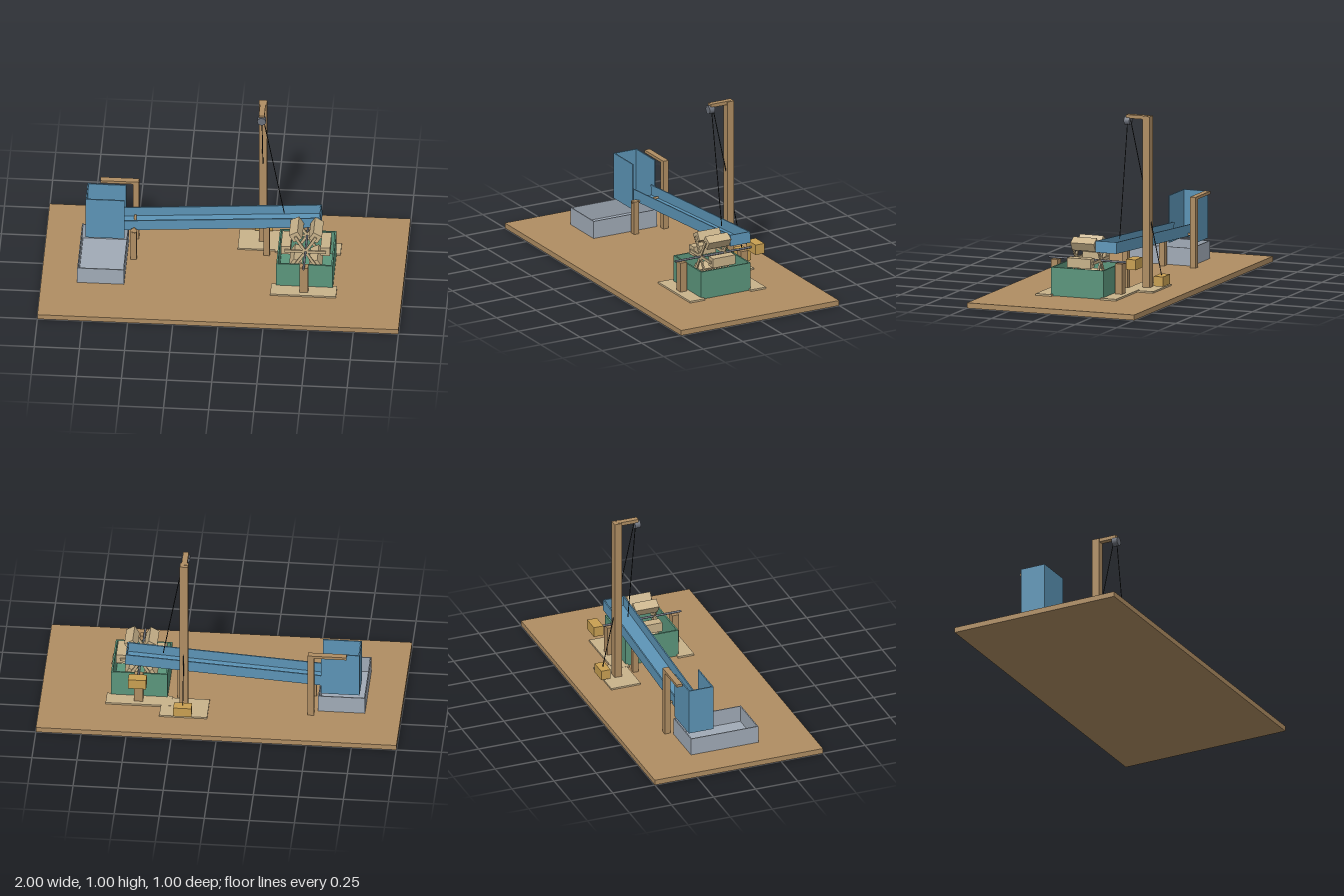
import * as THREE from 'three';

const mat = (name, color) => {
  const m = new THREE.MeshStandardMaterial({ color });
  m.name = name;
  return m;
};

export function createModel() {
  const model = new THREE.Group();
  model.name = 'waterWheelMachine';
  const wood = mat('wood', 0xb08e63);
  const paleWood = mat('pale wood', 0xc9b38b);
  const blue = mat('blue', 0x5c94b6);
  const green = mat('green', 0x5b967c);
  const grey = mat('light grey', 0xa1abb7);
  const steel = mat('steel', 0x6c717b);
  const gold = mat('gold', 0xc9a052);
  const black = mat('black', 0x1e2022);

  const add = (name, geometry, material, parent = model) => {
    const mesh = new THREE.Mesh(geometry, material);
    mesh.name = name;
    parent.add(mesh);
    return mesh;
  };
  // Box given by its minimum and maximum on each axis
  const box = (name, material, x0, x1, y0, y1, z0, z1, parent = model) => {
    const mesh = add(name, new THREE.BoxGeometry(x1 - x0, y1 - y0, z1 - z0), material, parent);
    mesh.position.set((x0 + x1) / 2, (y0 + y1) / 2, (z0 + z1) / 2);
    return mesh;
  };
  // Round bar between two points
  const rod = (name, material, a, b, r, sides = 16) => {
    const p = new THREE.Vector3(...a), q = new THREE.Vector3(...b);
    const d = q.clone().sub(p);
    const mesh = add(name, new THREE.CylinderGeometry(r, r, d.length(), sides), material);
    mesh.position.copy(p).add(q).multiplyScalar(0.5);
    mesh.quaternion.setFromUnitVectors(new THREE.Vector3(0, 1, 0), d.normalize());
    return mesh;
  };
  // Thin-walled box; the chosen sides are present
  const bin = (name, material, x0, x1, y0, y1, z0, z1, t, { floor = true, right = true, left = true } = {}, parent = model) => {
    const g = new THREE.Group();
    g.name = name;
    parent.add(g);
    box(name + 'Front', material, x0, x1, y0, y1, z1 - t, z1, g);
    box(name + 'Back', material, x0, x1, y0, y1, z0, z0 + t, g);
    if (left) box(name + 'EndA', material, x0, x0 + t, y0, y1, z0 + t, z1 - t, g);
    if (right) box(name + 'EndB', material, x1 - t, x1, y0, y1, z0 + t, z1 - t, g);
    if (floor) box(name + 'Floor', material, x0 + (left ? t : 0), x1 - (right ? t : 0), y0, y0 + t, z0 + t, z1 - t, g);
    return g;
  };

  // Ground board and mounting plates
  box('board', wood, -1, 1, 0, 0.03, -0.5, 0.5);
  box('mastPlate', paleWood, 0.065, 0.33, 0.03, 0.039, -0.335, -0.16);
  box('frontAxlePlate', paleWood, 0.272, 0.636, 0.03, 0.04, 0.145, 0.24);
  box('backAxlePlate', paleWood, 0.272, 0.636, 0.03, 0.04, -0.24, -0.145);

  // Drip tray under the open hopper
  bin('tray', grey, -0.8, -0.54, 0.03, 0.13, -0.205, 0.195, 0.006);
  bin('hopper', blue, -0.77, -0.555, 0.15, 0.415, -0.206, -0.06, 0.007, { floor: false, right: false });

  // Sloping trough, closed at its upper end
  const trough = bin('trough', blue, 0, 1.118, 0, 0.064, -0.2, -0.074, 0.007, { left: false });
  trough.position.set(-0.583, 0.198, 0);
  trough.rotation.z = 0.069;

  // Hopper post, hanger arm and trough pivot
  box('hopperPost', wood, -0.52, -0.486, 0.03, 0.412, -0.25, -0.216);
  box('hopperArm', wood, -0.7, -0.486, 0.412, 0.428, -0.25, -0.216);
  box('pivotPost', wood, -0.52, -0.486, 0.03, 0.22, -0.064, -0.032);
  rod('pivotRod', wood, [-0.503, 0.214, -0.23], [-0.503, 0.214, -0.028], 0.007);
  box('troughSupport', wood, 0.21, 0.245, 0.03, 0.256, -0.147, -0.115);

  // Mast with arm and pulley
  box('mast', wood, 0.177, 0.222, 0.03, 0.998, -0.27, -0.228);
  box('mastArm', wood, 0.184, 0.215, 0.98, 1, -0.25, -0.126);
  rod('pulley', steel, [0.2, 0.965, -0.148], [0.2, 0.965, -0.115], 0.024, 24);

  // Ropes and hanging weight
  rod('troughRope', black, [0.213, 0.95, -0.133], [0.325, 0.32, -0.133], 0.0025, 8);
  rod('weightRope', black, [0.2, 0.97, -0.147], [0.2, 0.11, -0.332], 0.0025, 8);
  box('ropeWeight', gold, 0.15, 0.25, 0.055, 0.11, -0.361, -0.305);

  // Water bin, axle and its posts
  bin('waterBin', green, 0.3, 0.613, 0.03, 0.19, -0.156, 0.158, 0.009);
  box('frontAxlePost', wood, 0.432, 0.48, 0.04, 0.21, 0.174, 0.214);
  box('backAxlePost', wood, 0.432, 0.48, 0.04, 0.21, -0.212, -0.17);
  rod('axle', steel, [0.456, 0.217, -0.25], [0.456, 0.217, 0.235], 0.006);
  box('axleWeight', gold, 0.406, 0.506, 0.186, 0.244, -0.303, -0.246);

  // Wheel: six paddles, each held by a spoke at both ends
  const wheel = new THREE.Group();
  wheel.name = 'wheel';
  wheel.position.set(0.456, 0.218, 0);
  model.add(wheel);
  for (let i = 0; i < 6; i++) {
    const arm = new THREE.Group();
    arm.name = 'paddleArm';
    arm.rotation.z = (i * Math.PI) / 3;
    wheel.add(arm);
    box('paddle', paleWood, 0.083, 0.136, -0.027, 0.027, -0.07, 0.07, arm);
    for (const z of [-0.074, 0.074]) box('spoke', paleWood, 0, 0.115, -0.008, 0.008, z - 0.004, z + 0.004, arm);
  }
  return model;
}
